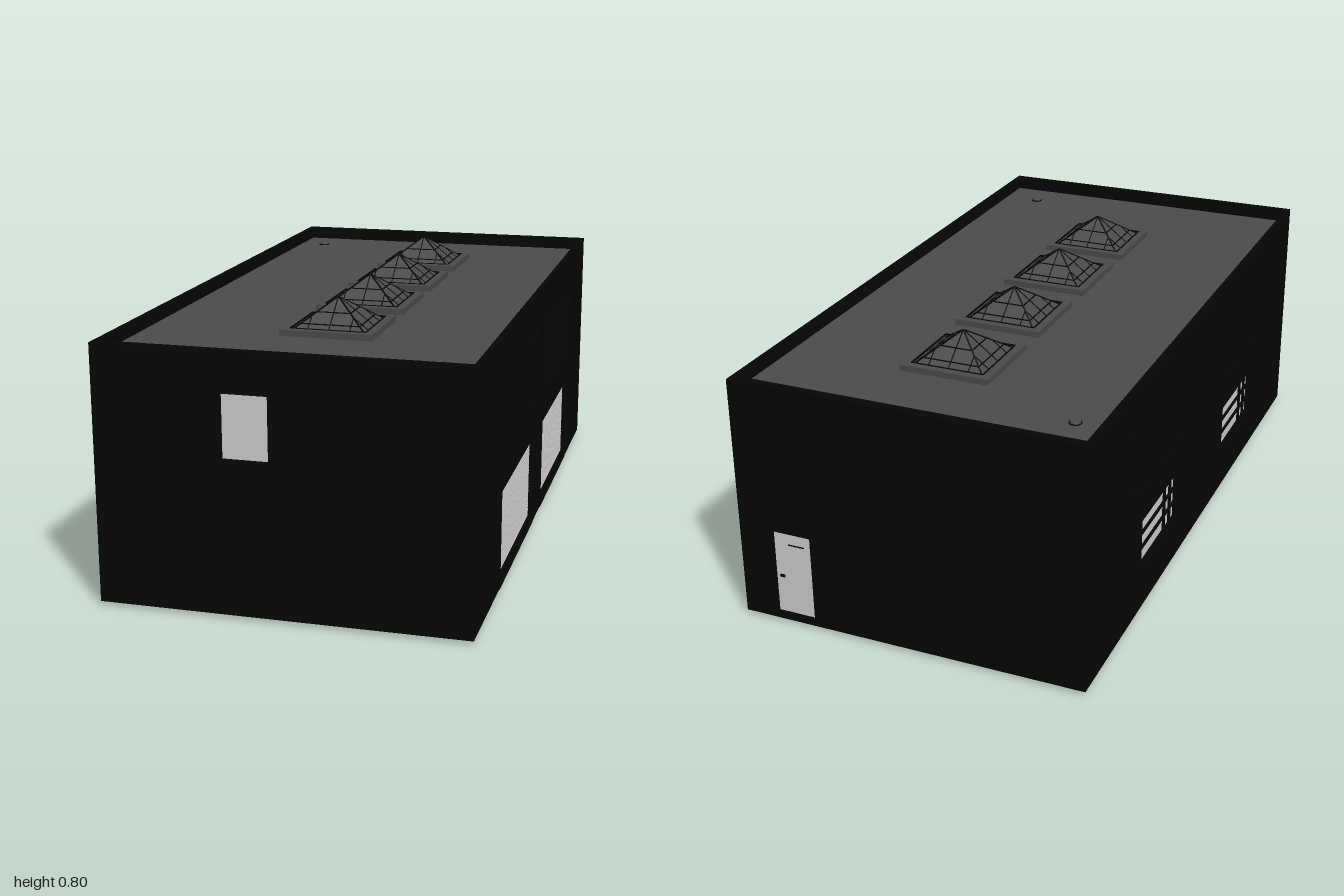
import * as THREE from 'three';

const black = new THREE.MeshStandardMaterial({ color: 0x050505 });
const roofGrey = new THREE.MeshStandardMaterial({ color: 0x4a4a4a });
const grey = new THREE.MeshStandardMaterial({ color: 0xcccccc });

const HX = 0.525, HZ = 1, BASE = 0.01, TOP = 0.745, ROOF = 0.707;

function box(parent, name, mat, w, h, d, x, y, z) {
  const m = new THREE.Mesh(new THREE.BoxGeometry(w, h, d), mat);
  m.name = name;
  m.position.set(x, y, z);
  parent.add(m);
  return m;
}

// Rectangular bar between two points
function bar(parent, name, a, b, size, mat) {
  const m = new THREE.Mesh(new THREE.BoxGeometry(size, size, a.distanceTo(b)), mat);
  m.name = name;
  m.position.copy(a).add(b).multiplyScalar(0.5);
  m.lookAt(b);
  parent.add(m);
}

function rect(Type, u0, u1, y0, y1) {
  const r = new Type();
  r.moveTo(u0, y0).lineTo(u1, y0).lineTo(u1, y1).lineTo(u0, y1).closePath();
  return r;
}

// Wall with openings; its outer face is local z = 0, turned to face outward
function facade(name, half, t, angle, dist, openings) {
  const g = new THREE.Group();
  g.name = name;
  const shape = rect(THREE.Shape, -half, half, BASE, TOP);
  for (const o of openings) shape.holes.push(rect(THREE.Path, ...o));
  const wall = new THREE.Mesh(new THREE.ExtrudeGeometry(shape, { depth: t, bevelEnabled: false }), black);
  wall.name = name + 'Panel';
  wall.position.z = -t;
  g.add(wall);
  g.rotation.y = angle;
  g.position.set(Math.sin(angle) * dist, 0, Math.cos(angle) * dist);
  return g;
}

function pane(g, name, [u0, u1, y0, y1], inset) {
  box(g, name, grey, u1 - u0 + 0.004, y1 - y0 + 0.004, 0.006, (u0 + u1) / 2, (y0 + y1) / 2, -inset - 0.003);
}

// Glazing bars at given fractions of an opening
function glazing(g, [u0, u1, y0, y1], cols, rows, size, depth) {
  for (const f of cols)
    box(g, 'verticalGlazingBar', black, size, y1 - y0, depth, u0 + (u1 - u0) * f, (y0 + y1) / 2, -0.002 - depth / 2);
  for (const f of rows)
    box(g, 'horizontalGlazingBar', black, u1 - u0, size, depth, (u0 + u1) / 2, y0 + (y1 - y0) * f, -0.002 - depth / 2);
}
const splits = n => Array.from({ length: n - 1 }, (_, i) => (i + 1) / n);

// Ribbed roller door with threshold
function rollerDoor(g, o) {
  const [u0, u1, y0, y1] = o, n = 26, h = (y1 - y0) / n;
  pane(g, 'rollerDoorSheet', o, 0.017);
  for (let i = 0; i < n; i++)
    box(g, 'rollerDoorSlat', grey, u1 - u0, h * 0.75, 0.003, (u0 + u1) / 2, y0 + (i + 0.5) * h, -0.016);
  box(g, 'threshold', black, u1 - u0 + 0.02, 0.008, 0.02, (u0 + u1) / 2, 0.01, -0.01);
}

// Pyramid rooflight with kerb and lattice bars
function skylight(z) {
  const g = new THREE.Group();
  g.name = 'skylight';
  g.position.set(0.022, ROOF, z);
  const r = 0.122, h = 0.093;
  const glass = new THREE.Mesh(new THREE.ConeGeometry(r * Math.SQRT2, h, 4, 1, true).toNonIndexed(), roofGrey);
  glass.geometry.rotateY(Math.PI / 4);
  glass.geometry.computeVertexNormals();
  glass.name = 'skylightGlass';
  glass.position.y = h / 2;
  g.add(glass);
  for (let k = 0; k < 4; k++) {
    const side = new THREE.Group();
    side.name = 'skylightSide';
    side.rotation.y = k * Math.PI / 2;
    box(side, 'skylightKerb', roofGrey, 0.27, 0.018, 0.024, 0, 0.009, 0.123);
    box(side, 'kerbShadowGap', black, 0.222, 0.004, 0.004, 0, 0.018, 0.11);
    const p = (u, f) => new THREE.Vector3(u, h * f, r * (1 - f));
    bar(side, 'hipBar', p(-r, 0), p(0, 1), 0.004, black);
    for (const f of [0.3, 0.6]) bar(side, 'ringBar', p(-r * (1 - f), f), p(r * (1 - f), f), 0.003, black);
    for (const s of [-0.5, 0, 0.5])
      bar(side, 'rafterBar', p(s * r, 0.02), p(s * r, Math.min(0.98, 1 - Math.abs(s))), 0.003, black);
    g.add(side);
  }
  return g;
}

export function createModel() {
  const model = new THREE.Group();
  model.name = 'warehouse';

  // Front wall with one window
  const win = [-0.16, -0.03, 0.45, 0.63];
  const front = facade('frontWall', HX, 0.03, 0, HZ, [win]);
  pane(front, 'frontWindow', win, 0.01);

  // Left side: tall grid windows above two roller doors
  const bigWindows = [[-0.68, -0.04, 0.385, 0.645], [0.07, 0.7, 0.385, 0.645]];
  const doors = [[-0.62, -0.065, 0.014, 0.295], [0.1, 0.65, 0.014, 0.295]];
  const left = facade('leftWall', HZ, 0.015, Math.PI / 2, HX, [...bigWindows, ...doors]);
  for (const o of bigWindows) {
    pane(left, 'gridWindow', o, 0.013);
    glazing(left, o, splits(16), splits(6), 0.008, 0.012);
  }
  for (const o of doors) rollerDoor(left, o);

  // Right side: smaller grid windows above two low windows
  const upper = [[-0.645, -0.175, 0.425, 0.63], [0.135, 0.605, 0.425, 0.63]];
  const lower = [[-0.56, -0.24, 0.15, 0.3], [0.235, 0.56, 0.15, 0.3]];
  const right = facade('rightWall', HZ, 0.015, -Math.PI / 2, HX, [...upper, ...lower]);
  for (const o of upper) {
    pane(right, 'gridWindow', o, 0.013);
    glazing(right, o, splits(13), splits(6), 0.007, 0.012);
  }
  for (const o of lower) {
    pane(right, 'lowWindow', o, 0.013);
    glazing(right, o, [0.67, 0.83], [0.36, 0.68], 0.005, 0.008);
  }

  // Back wall with a personnel door
  const doorway = [-0.42, -0.3, 0.025, 0.295];
  const back = facade('backWall', HX, 0.03, Math.PI, HZ, [doorway]);
  pane(back, 'backDoor', doorway, 0.01);
  box(back, 'doorHandle', black, 0.014, 0.006, 0.006, -0.4, 0.15, -0.007);
  box(back, 'doorTopLine', black, 0.05, 0.003, 0.003, -0.35, 0.255, -0.009);
  model.add(front, left, right, back);

  // Roof deck and floor slab
  box(model, 'roofDeck', roofGrey, 1.03, 0.02, 1.95, 0, ROOF - 0.01, 0);
  box(model, 'floorSlab', black, 1.04, 0.02, 1.98, 0, BASE + 0.0105, 0);

  for (const z of [-0.56, -0.2, 0.16, 0.51]) model.add(skylight(z));

  // Roof drains
  for (const [x, z] of [[-0.42, -0.82], [0.39, 0.85]]) {
    const drain = new THREE.Mesh(new THREE.CylinderGeometry(0.014, 0.018, 0.012, 16), roofGrey);
    drain.name = 'roofDrain';
    drain.position.set(x, ROOF + 0.006, z);
    const ring = new THREE.Mesh(new THREE.TorusGeometry(0.017, 0.002, 6, 20).rotateX(Math.PI / 2), black);
    ring.name = 'drainRing';
    ring.position.set(x, ROOF + 0.004, z);
    model.add(drain, ring);
  }

  // Footing pads beneath the floor
  for (const x of [-0.465, 0.465])
    for (const z of [-0.73, -0.015, 0.74]) box(model, 'footingPad', roofGrey, 0.05, 0.012, 0.05, x, 0.006, z);
  box(model, 'centrePad', roofGrey, 0.06, 0.012, 0.06, 0, 0.006, 0.62);

  return model;
}
